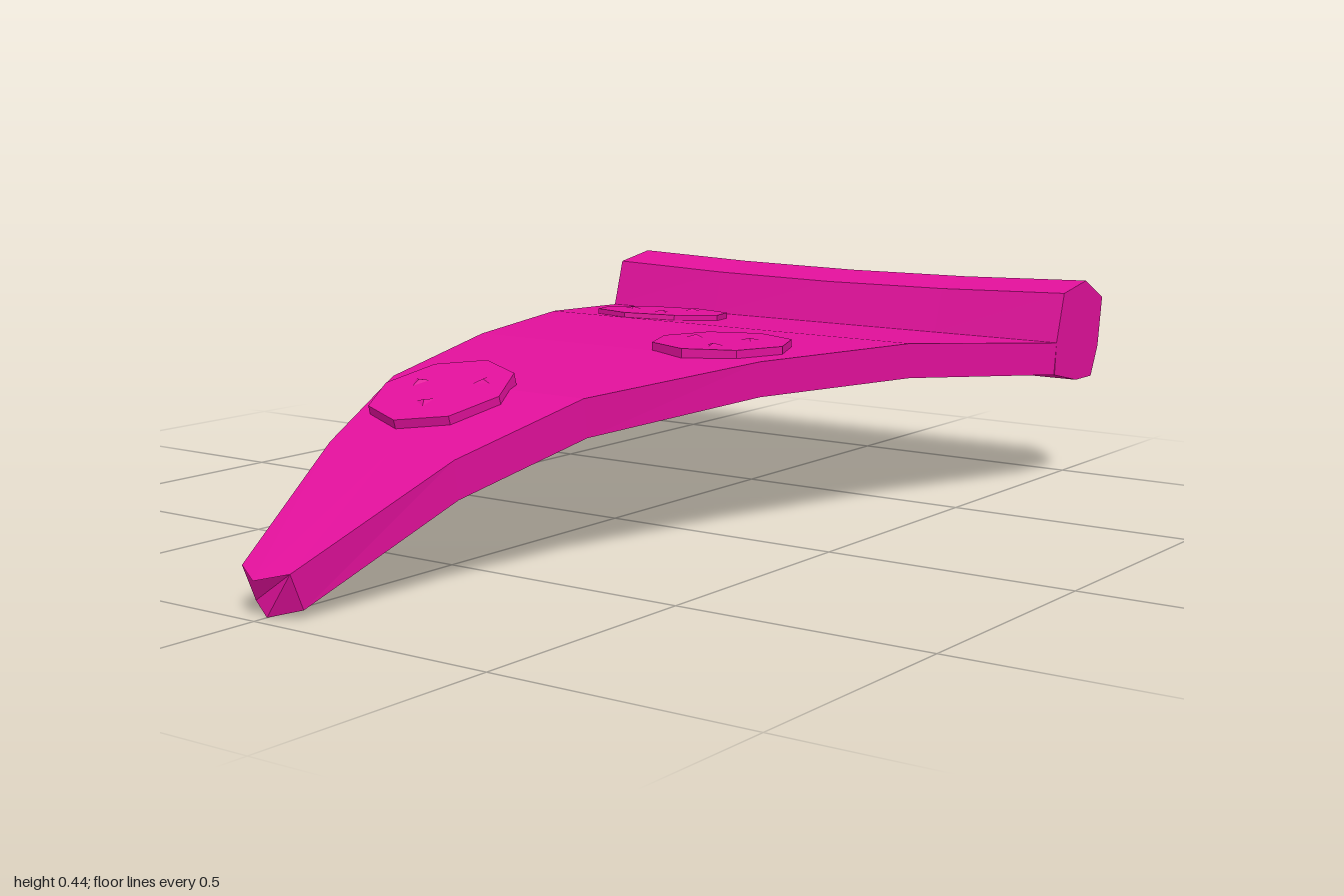
import * as THREE from 'three';

const material = new THREE.MeshStandardMaterial({
  color: 0xe0109a, flatShading: true, roughness: 0.8,
});

// Skin a list of equal-length closed rings and cap both ends.
function loft(rings) {
  const n = rings[0].length;
  const index = [];
  for (let i = 0; i < rings.length - 1; i++) {
    for (let j = 0; j < n; j++) {
      const a = i * n + j, b = i * n + (j + 1) % n;
      index.push(a, b, a + n, b, b + n, a + n);
    }
  }
  const last = (rings.length - 1) * n;
  for (let j = 1; j < n - 1; j++) {
    index.push(0, j + 1, j, last, last + j, last + j + 1);
  }
  const geometry = new THREE.BufferGeometry();
  geometry.setAttribute('position', new THREE.Float32BufferAttribute(rings.flat(2), 3));
  geometry.setIndex(index);
  geometry.computeVertexNormals();
  return geometry;
}

function addMesh(parent, name, geometry) {
  const mesh = new THREE.Mesh(geometry, material);
  mesh.name = name;
  parent.add(mesh);
  return mesh;
}

// Drooping wedge: half width, top z and y, bottom z and y, forward point of the tip
function sliceGeometry() {
  const sections = [
    [0.58, -0.78, 0.318, -0.78, 0.25, 0],
    [0.452, -0.38, 0.35, -0.38, 0.28, 0],
    [0.343, 0, 0.348, 0, 0.28, 0],
    [0.228, 0.40, 0.318, 0.39, 0.245, 0],
    [0.147, 0.66, 0.237, 0.65, 0.165, 0],
    [0.056, 0.97, 0.083, 0.94, 0.016, 0.03],
  ];
  return loft(sections.map(([w, tz, ty, bz, by, tip]) => [
    [w, ty, tz], [0, ty - tip * 0.45, tz + tip], [-w, ty, tz],
    [-w, by, bz], [0, by - tip * 0.5, bz + tip], [w, by, bz],
  ]));
}

// Thick rim, sagging slightly along its upper edge
function crustGeometry() {
  const profile = [ // z, y
    [-0.775, 0.25], [-0.88, 0.227], [-0.955, 0.227], [-0.985, 0.29],
    [-1, 0.395], [-0.915, 0.438], [-0.81, 0.42], [-0.78, 0.318],
  ];
  return loft([-0.58, -0.29, 0, 0.29, 0.58].map((x) => {
    const sag = 0.012 * (1 - (x / 0.58) ** 2);
    return profile.map(([z, y]) => [x, y > 0.35 ? y - sag : y, z]);
  }));
}

export function createModel() {
  const model = new THREE.Group();
  model.name = 'pizzaSlice';
  addMesh(model, 'slice', sliceGeometry());
  addMesh(model, 'crust', crustGeometry());

  // Octagonal toppings: x, top y, z, radius, tilt, turn of the specks
  const toppings = [
    [-0.26, 0.350, -0.53, 0.146, -0.07, 0.5],
    [0.185, 0.364, -0.105, 0.14, 0, 2.2],
    [-0.055, 0.316, 0.46, 0.137, 0.29, 0],
  ];
  const specks = [[-0.07, -0.02], [0.06, -0.05], [0.005, 0.055]];
  for (const [x, y, z, radius, tilt, turn] of toppings) {
    const topping = new THREE.Group();
    topping.name = 'pepperoni';
    topping.position.set(x, y, z);
    topping.rotation.x = tilt;
    model.add(topping);
    const disc = addMesh(topping, 'pepperoniDisc', new THREE.CylinderGeometry(radius, radius, 0.04, 8));
    disc.position.y = -0.02;

    // Shallow three-sided bumps on the disc
    const bumps = new THREE.Group();
    bumps.name = 'specks';
    bumps.rotation.y = turn;
    topping.add(bumps);
    specks.forEach(([sx, sz], i) => {
      const speck = addMesh(bumps, 'speck', new THREE.ConeGeometry(0.024, 0.006, 3));
      speck.position.set(sx, 0.002, sz);
      speck.rotation.y = i * 1.3;
    });
  }
  return model;
}
